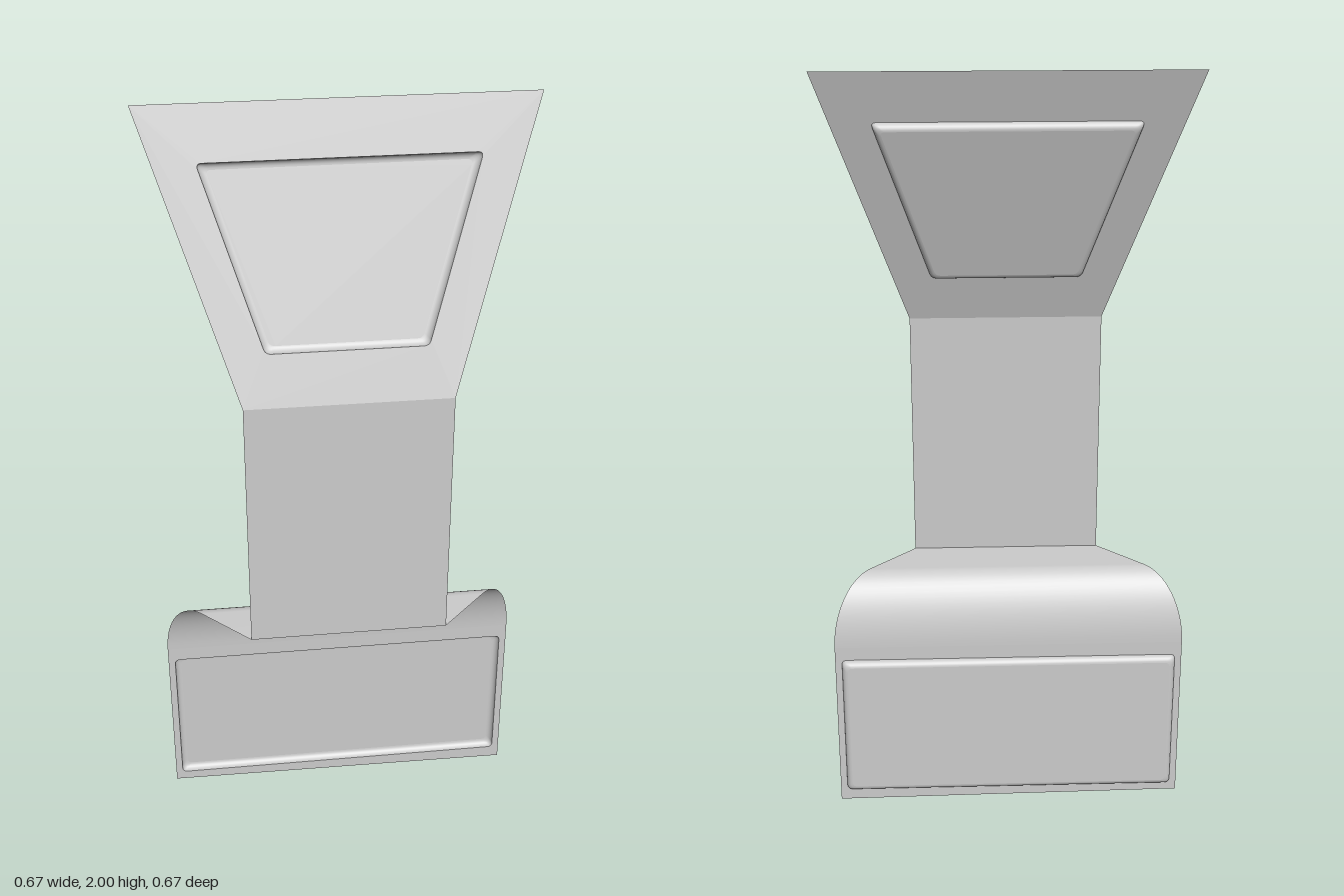
import * as THREE from 'three';

const material = new THREE.MeshStandardMaterial({ color: 0xcccccc, side: THREE.DoubleSide });

function addMesh(parent, name, geometry) {
  const mesh = new THREE.Mesh(geometry, material);
  mesh.name = name;
  parent.add(mesh);
  return mesh;
}

// Skin over rows of points that all have the same length
function skin(rows) {
  const n = rows[0].length, index = [];
  for (let i = 0; i < rows.length - 1; i++) {
    for (let j = 0; j < n - 1; j++) {
      const a = i * n + j, b = a + n;
      index.push(a, a + 1, b, a + 1, b + 1, b);
    }
  }
  const geometry = new THREE.BufferGeometry();
  geometry.setAttribute('position', new THREE.Float32BufferAttribute(rows.flat(2), 3));
  geometry.setIndex(index);
  geometry.computeVertexNormals();
  return geometry;
}

// Rounded symmetric trapezoid, moved inwards by inset
function panelOutline({ bottom, top, bottomHalf, topHalf }, inset, radius) {
  const k = (topHalf - bottomHalf) / (top - bottom);
  const half = (y) => bottomHalf + k * (y - bottom) - inset * Math.hypot(1, k);
  const y0 = bottom + inset, y1 = top - inset;
  const corners = [[-half(y0), y0], [half(y0), y0], [half(y1), y1], [-half(y1), y1]]
    .map((p) => new THREE.Vector2(...p));
  const points = [];
  corners.forEach((c, i) => {
    const toward = (q) => q.clone().sub(c).setLength(radius).add(c);
    const curve = new THREE.QuadraticBezierCurve(
      toward(corners[(i + 3) % 4]), c, toward(corners[(i + 1) % 4]));
    points.push(...curve.getPoints(6));
  });
  return points;
}

// Flat plate with a pressed panel sunk into its front
function pressedPlate(name, corners, panel) {
  const plate = new THREE.Group();
  plate.name = name;
  const radius = 0.014, width = 0.016, depth = 0.018, steps = 6;
  const shape = new THREE.Shape(corners.map((p) => new THREE.Vector2(...p)));
  shape.holes.push(new THREE.Path(panelOutline(panel, 0, radius)));
  addMesh(plate, name + 'Rim', new THREE.ShapeGeometry(shape));

  const rows = [];
  for (let i = 0; i <= steps; i++) {
    const t = (i / steps) * Math.PI / 2;
    const ring = panelOutline(panel, width * (1 - Math.cos(t)), radius);
    ring.push(ring[0]);
    rows.push(ring.map((p) => [p.x, p.y, -depth * Math.sin(t)]));
  }
  addMesh(plate, name + 'PanelWall', skin(rows));

  const floor = new THREE.ShapeGeometry(new THREE.Shape(panelOutline(panel, width, radius)));
  addMesh(plate, name + 'PanelFloor', floor.translate(0, 0, -depth));
  return plate;
}

export function createModel() {
  const model = new THREE.Group();
  model.name = 'bentSheetBracket';
  const wide = 0.47, narrow = 0.252;
  const backZ = -0.007, neckZ = 0.212, foldZ = 0.2185;
  const neckTop = 1.335, foldY = 0.667, bladeTop = 0.48;

  // Upper flared plate, leaning back
  const rise = 2 - neckTop, lean = neckZ - backZ, length = Math.hypot(rise, lean);
  const flare = pressedPlate('upperPlate',
    [[-narrow, 0], [narrow, 0], [wide, length], [-wide, length]],
    { bottom: 0.128, top: 0.568, bottomHalf: 0.193, topHalf: 0.329 });
  flare.position.set(0, neckTop, neckZ);
  flare.rotation.x = -Math.atan2(lean, rise);
  model.add(flare);

  // Upright neck strip
  addMesh(model, 'neck', skin([
    [[-narrow, foldY, foldZ], [narrow, foldY, foldZ]],
    [[-narrow, neckTop, neckZ], [narrow, neckTop, neckZ]],
  ]));

  // Shoulder: curves over from the blade, then runs flat to the neck while narrowing
  const curlZ = 0.094, rows = [];
  const addRow = (y, z) => {
    const half = THREE.MathUtils.mapLinear(z, backZ, foldZ, wide, narrow);
    rows.push([[-half, y, z], [half, y, z]]);
  };
  for (let i = 0; i <= 16; i++) {
    const t = (i / 16) * Math.PI / 2;
    addRow(bladeTop + (foldY - bladeTop) * Math.sin(t), curlZ - (curlZ - backZ) * Math.cos(t));
  }
  addRow(foldY, foldZ);
  addMesh(model, 'shoulder', skin(rows));

  // Lower blade with its pressed panel
  const blade = pressedPlate('lowerBlade',
    [[-wide, 0.01], [wide, 0], [wide, bladeTop], [-wide, bladeTop]],
    { bottom: 0.035, top: 0.442, bottomHalf: 0.452, topHalf: 0.452 });
  blade.position.z = backZ;
  model.add(blade);

  // The whole sheet stands diagonally
  const root = new THREE.Group();
  root.name = 'diagonalBracket';
  model.rotation.y = Math.PI / 4;
  root.add(model);
  return root;
}
